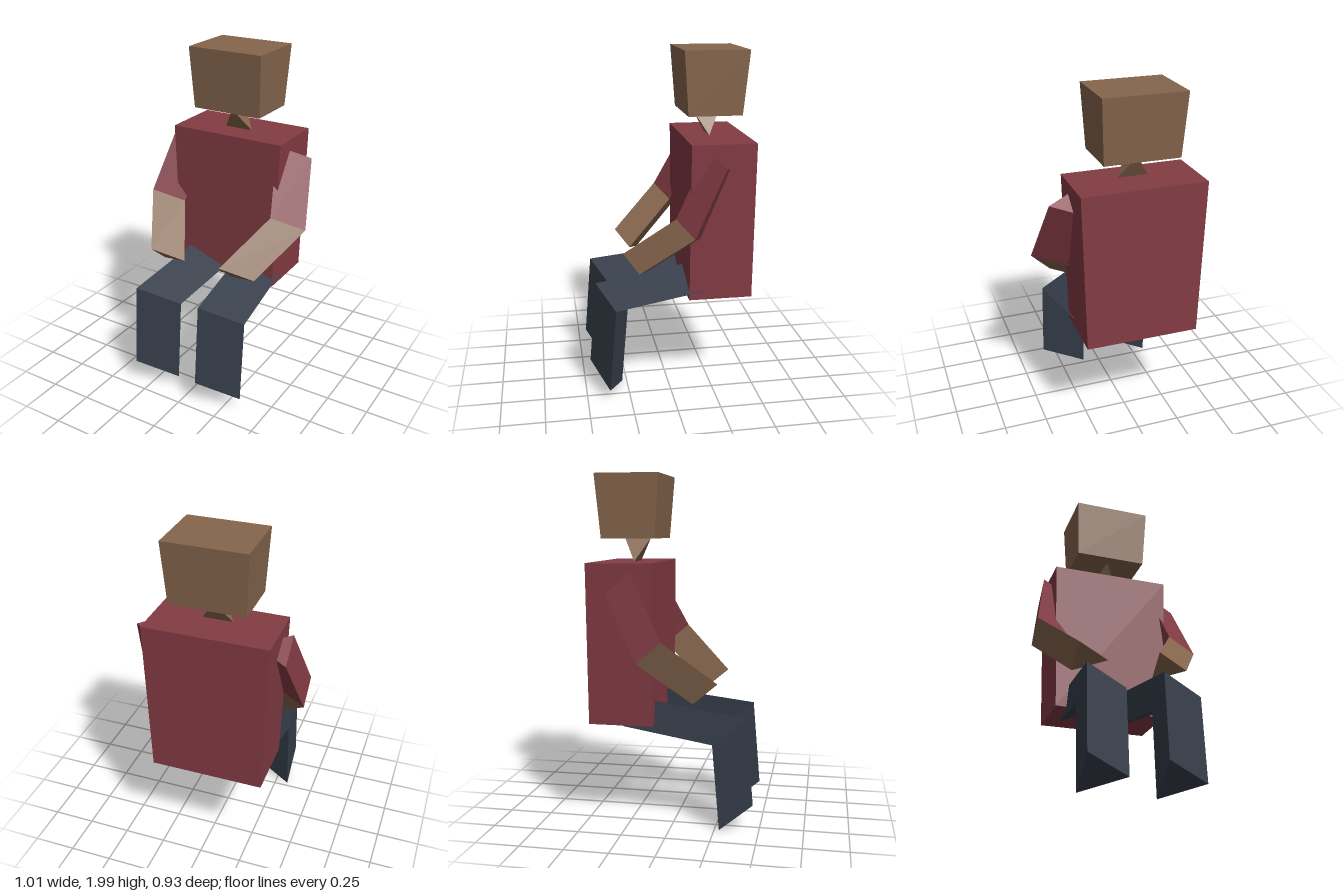
import * as THREE from 'three';
import { ConvexGeometry } from 'three/addons/geometries/ConvexGeometry.js';

const V = (x, y, z) => new THREE.Vector3(x, y, z);

// Sweep a triangular cross-section (offsets) along a path without turning it.
function sweepTriangle(triangle, path) {
  const rings = path.map(p => triangle.map(o => o.clone().add(p)));
  const corners = [];
  const first = rings[0], last = rings[rings.length - 1];
  corners.push(first[2], first[1], first[0], ...last);
  for (let r = 0; r < rings.length - 1; r++) {
    const a = rings[r], b = rings[r + 1];
    for (let i = 0; i < 3; i++) {
      const j = (i + 1) % 3;
      corners.push(a[i], a[j], b[j], a[i], b[j], b[i]);
    }
  }
  const geometry = new THREE.BufferGeometry().setFromPoints(corners);
  geometry.computeVertexNormals();
  return geometry;
}

// Box whose bottom and top are separate rectangles: [xMin, xMax, zMin, zMax].
function taperedBox(y0, bottom, y1, top) {
  const geometry = new THREE.BoxGeometry(1, 1, 1).toNonIndexed();
  const p = geometry.attributes.position;
  for (let i = 0; i < p.count; i++) {
    const up = p.getY(i) > 0;
    const r = up ? top : bottom;
    p.setXYZ(i, r[p.getX(i) > 0 ? 1 : 0], up ? y1 : y0, r[p.getZ(i) > 0 ? 3 : 2]);
  }
  geometry.computeVertexNormals();
  return geometry;
}

export function createModel() {
  const model = new THREE.Group();
  model.name = 'seatedFigure';

  const material = (name, color) => {
    const m = new THREE.MeshStandardMaterial({ color });
    m.name = name;
    return m;
  };
  const skin = material('skin', 0x86664d);
  const shirt = material('shirt', 0x833b43);
  const trousers = material('trousers', 0x363e4a);

  const add = (name, geometry, mat) => {
    const mesh = new THREE.Mesh(geometry, mat);
    mesh.name = name;
    model.add(mesh);
  };

  // Torso and head
  add('torso', taperedBox(0.597, [-0.36, 0.297, -0.467, -0.1], 1.508, [-0.389, 0.323, -0.467, -0.1]), shirt);
  add('head', taperedBox(1.64, [-0.247, 0.182, -0.415, -0.107], 2, [-0.265, 0.2, -0.446, -0.08]), skin);

  // Neck: a wedge twisting from a sideways edge to a lengthways edge
  add('neck', new ConvexGeometry([
    V(-0.122, 1.508, -0.255), V(0.053, 1.508, -0.255),
    V(-0.035, 1.642, -0.175), V(-0.035, 1.642, -0.33),
  ]), skin);

  // Limbs: the paths mirror, the triangular section keeps its orientation
  const legSection = [V(0, 0, 0), V(0, -0.158, -0.19), V(0.25, -0.08, -0.095)];
  const armSection = [V(0, 0, 0), V(0, -0.118, -0.138), V(0.19, -0.06, -0.07)];
  for (const [side, s] of [['left', 1], ['right', -1]]) {
    const legX = x => -0.115 + s * x;
    add(side + 'Leg', sweepTriangle(legSection, [
      V(legX(0.17), 0.732, -0.1), V(legX(0.215), 0.658, 0.425), V(legX(0.215), 0.165, 0.467),
    ]), trousers);

    const armX = x => -0.095 + s * x;
    const shoulder = V(armX(0.345), 1.462, -0.202);
    const elbow = V(armX(0.412), 1.095, -0.016);
    const hand = V(armX(0.236), 0.847, 0.263);
    add(side + 'Sleeve', sweepTriangle(armSection, [shoulder, elbow]), shirt);
    add(side + 'Forearm', sweepTriangle(armSection, [elbow, hand]), skin);
  }
  return model;
}
